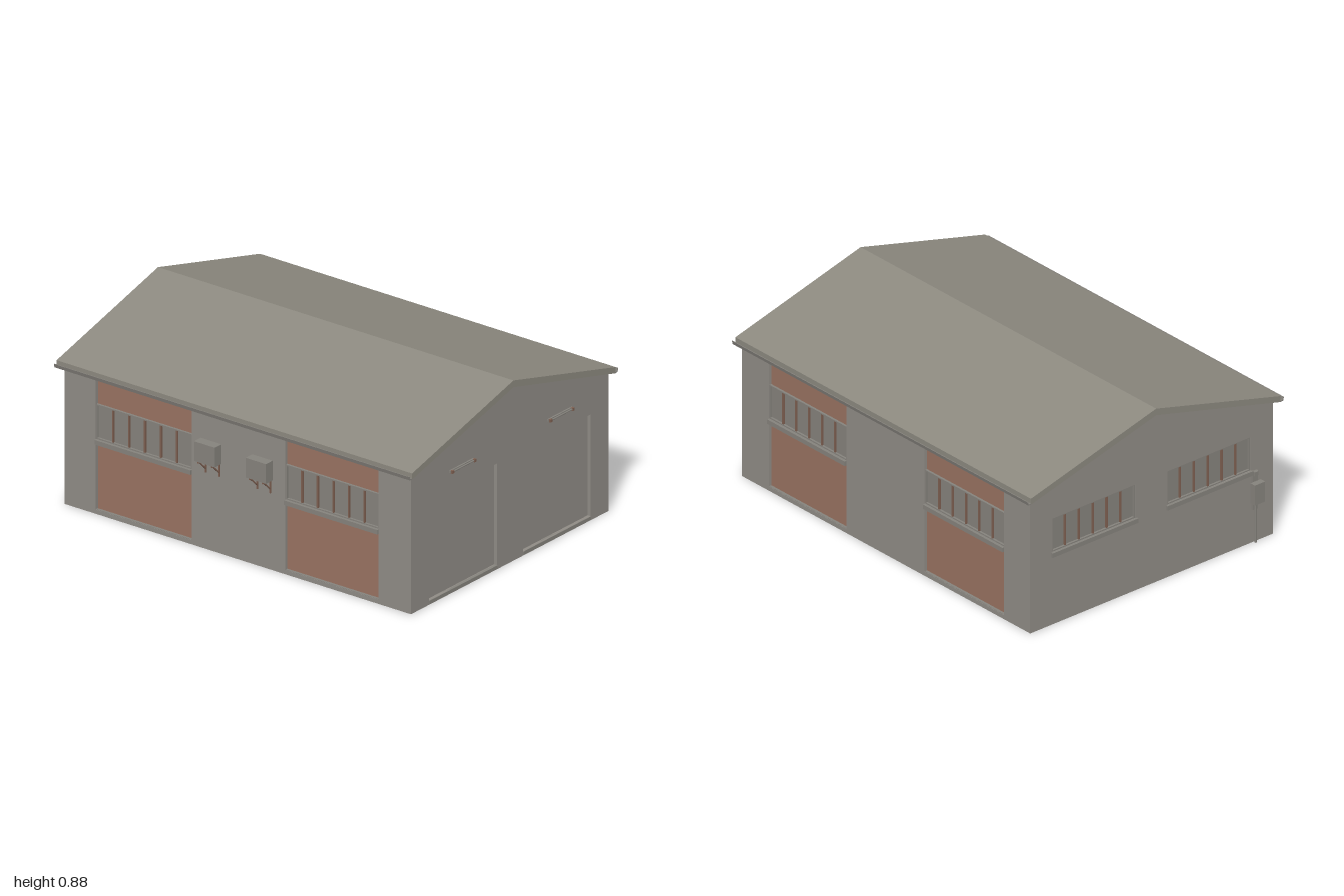
import * as THREE from 'three';

const mat = (name, color) => {
  const m = new THREE.MeshStandardMaterial({ color });
  m.name = name;
  return m;
};

export function createModel() {
  const wallGrey = mat('wall grey', 0x8f8b85);
  const roofGrey = mat('roof grey', 0x8c897f);
  const brick = mat('brick red', 0x987261);
  const trim = mat('trim grey', 0x85827c);
  const rust = mat('bracket brown', 0x7d5f50);
  const model = new THREE.Group();
  model.name = 'garage';
  const T = 0.018; // wall thickness

  const add = (parent, geometry, material, name) => {
    const m = new THREE.Mesh(geometry, material);
    m.name = name;
    parent.add(m);
    return m;
  };
  // box given by its limits
  const box = (parent, name, material, x0, x1, y0, y1, z0, z1) => {
    const m = add(parent, new THREE.BoxGeometry(x1 - x0, y1 - y0, z1 - z0), material, name);
    m.position.set((x0 + x1) / 2, (y0 + y1) / 2, (z0 + z1) / 2);
    return m;
  };
  const outline = (points) => new THREE.Shape(points.map((p) => new THREE.Vector2(...p)));

  // wall with openings, local z = 0 is its outer face
  const wall = (name, points, openings, position, turn) => {
    const g = new THREE.Group();
    g.name = name;
    const shape = outline(points);
    for (const [x0, x1, y0, y1] of openings) {
      shape.holes.push(outline([[x0, y0], [x0, y1], [x1, y1], [x1, y0]]));
    }
    const geometry = new THREE.ExtrudeGeometry(shape, { depth: T, bevelEnabled: false });
    geometry.translate(0, 0, -T);
    add(g, geometry, wallGrey, name + 'Shell');
    g.position.set(...position);
    g.rotation.y = turn;
    model.add(g);
    return g;
  };

  // ribbon window with six panes, frame and sill
  const ribbonWindow = (g, x0, x1, overhang) => {
    const y0 = 0.36, y1 = 0.528, f = 0.006;
    box(g, 'windowPanes', trim, x0, x1, y0, y1, -T, -T + 0.004);
    box(g, 'frameTop', trim, x0, x1, y1 - f, y1, -T, -0.004);
    box(g, 'frameBottom', trim, x0, x1, y0, y0 + f, -T, -0.004);
    box(g, 'frameLeft', trim, x0, x0 + f, y0, y1, -T, -0.004);
    box(g, 'frameRight', trim, x1 - f, x1, y0, y1, -T, -0.004);
    for (let i = 1; i < 6; i++) {
      const x = x0 + ((x1 - x0) * i) / 6;
      box(g, 'mullion', rust, x - 0.004, x + 0.004, y0 + f, y1 - f, -T, -0.006);
    }
    box(g, 'windowSill', trim, x0 - overhang, x1 + overhang, 0.338, y0, -T, 0.01);
  };

  // front wall with two recessed doors and lamps
  const doors = [[-0.57, -0.085], [0.1, 0.585]];
  const gable = [[-0.7, 0], [0.715, 0], [0.715, 0.668], [0.005, 0.855], [-0.7, 0.668]];
  const front = wall('frontWall', gable, doors.map(([a, b]) => [a, b, 0.02, 0.51]), [0, 0, 0.975], 0);
  for (const [a, b] of doors) {
    box(front, 'door', wallGrey, a, b, 0.02, 0.51, -T - 0.006, -T + 0.002);
    box(front, 'doorThreshold', trim, a, b, 0.003, 0.02, -T - 0.015, 0.003);
  }
  for (const x of [-0.34, 0.362]) {
    box(front, 'lampBase', trim, x - 0.087, x + 0.087, 0.586, 0.597, 0, 0.008);
    const tube = add(front, new THREE.CylinderGeometry(0.004, 0.004, 0.15, 8), trim, 'lampTube');
    tube.rotation.z = Math.PI / 2;
    tube.position.set(x, 0.591, 0.012);
    for (const s of [-1, 1]) {
      const c = x + s * 0.079;
      box(front, 'lampHolder', rust, c - 0.006, c + 0.006, 0.584, 0.598, 0.006, 0.018);
    }
  }

  // back wall with two ribbon windows
  const back = wall('backWall', gable.map(([x, y]) => [-x, y]).reverse(),
    [[-0.585, -0.1, 0.36, 0.528], [0.085, 0.57, 0.36, 0.528]], [0, 0, -0.96], Math.PI);
  ribbonWindow(back, -0.585, -0.1, 0.008);
  ribbonWindow(back, 0.085, 0.57, 0.008);

  // side walls with brick bays
  const sideWall = (name, z0, z1, bays, x, turn) => {
    const g = wall(name, [[z0, 0], [z1, 0], [z1, 0.668], [z0, 0.668]],
      bays.map(([a, b]) => [a, b, 0.02, 0.662]), [x, 0, 0], turn);
    for (const [a, b] of bays) {
      box(g, 'lowerBrickPanel', brick, a, b, 0.02, 0.345, -T - 0.006, -T + 0.003);
      box(g, 'upperBrickPanel', brick, a, b, 0.528, 0.662, -T - 0.006, -T + 0.003);
      box(g, 'bayCurb', trim, a, b, 0.008, 0.022, -T - 0.014, -0.002);
      ribbonWindow(g, a, b, 0);
    }
    return g;
  };
  const bays = [[-0.785, -0.25], [0.275, 0.795]];
  sideWall('rightSideWall', -0.957, 0.942, [[-0.795, -0.275], [0.25, 0.785]], 0.715, Math.PI / 2);
  const left = sideWall('leftSideWall', -0.942, 0.957, bays, -0.7, -Math.PI / 2);

  // two cooling units on angled brackets
  for (const [a, b] of [[-0.19, -0.075], [0.1, 0.213]]) {
    box(left, 'coolingUnit', trim, a, b, 0.44, 0.535, 0.012, 0.06);
    for (const z of [a + 0.02, b - 0.02]) {
      box(left, 'bracketPlate', rust, z - 0.003, z + 0.003, 0.37, 0.47, -T - 0.002, 0.005);
      box(left, 'bracketArm', rust, z - 0.003, z + 0.003, 0.432, 0.44, 0, 0.058);
      const brace = box(left, 'bracketBrace', rust, z - 0.003, z + 0.003, 0.378, 0.443, 0.022, 0.027);
      brace.rotation.x = 0.8;
    }
  }

  // meter box on a post
  box(back, 'meterBox', trim, 0.56, 0.62, 0.205, 0.305, 0.01, 0.04);
  box(back, 'meterBacking', trim, 0.575, 0.605, 0.165, 0.355, 0, 0.01);
  box(back, 'meterCap', trim, 0.58, 0.6, 0.335, 0.355, 0.01, 0.018);
  const post = add(back, new THREE.CylinderGeometry(0.006, 0.006, 0.21, 8), trim, 'meterPost');
  post.position.set(0.59, 0.105, 0.01);

  // gabled roof slab
  const roof = new THREE.ExtrudeGeometry(outline([
    [-0.72, 0.662], [0.005, 0.852], [0.735, 0.662], [0.735, 0.692], [0.005, 0.885], [-0.72, 0.692],
  ]), { depth: 1.985, bevelEnabled: false });
  roof.translate(0, 0, -0.988);
  add(model, roof, roofGrey, 'roof');

  // eaves gutters, open at the top
  for (const [x, s] of [[-0.72, -1], [0.735, 1]]) {
    const profile = [[0, 0.663], [0.015, 0.663], [0.02, 0.681], [0.016, 0.681], [0.012, 0.668], [0, 0.668]];
    const pts = profile.map(([dx, y]) => [x + s * dx, y]);
    const gutter = new THREE.ExtrudeGeometry(outline(pts), { depth: 1.985, bevelEnabled: false });
    gutter.translate(0, 0, -0.988);
    add(model, gutter, trim, 'gutter');
  }
  return model;
}
